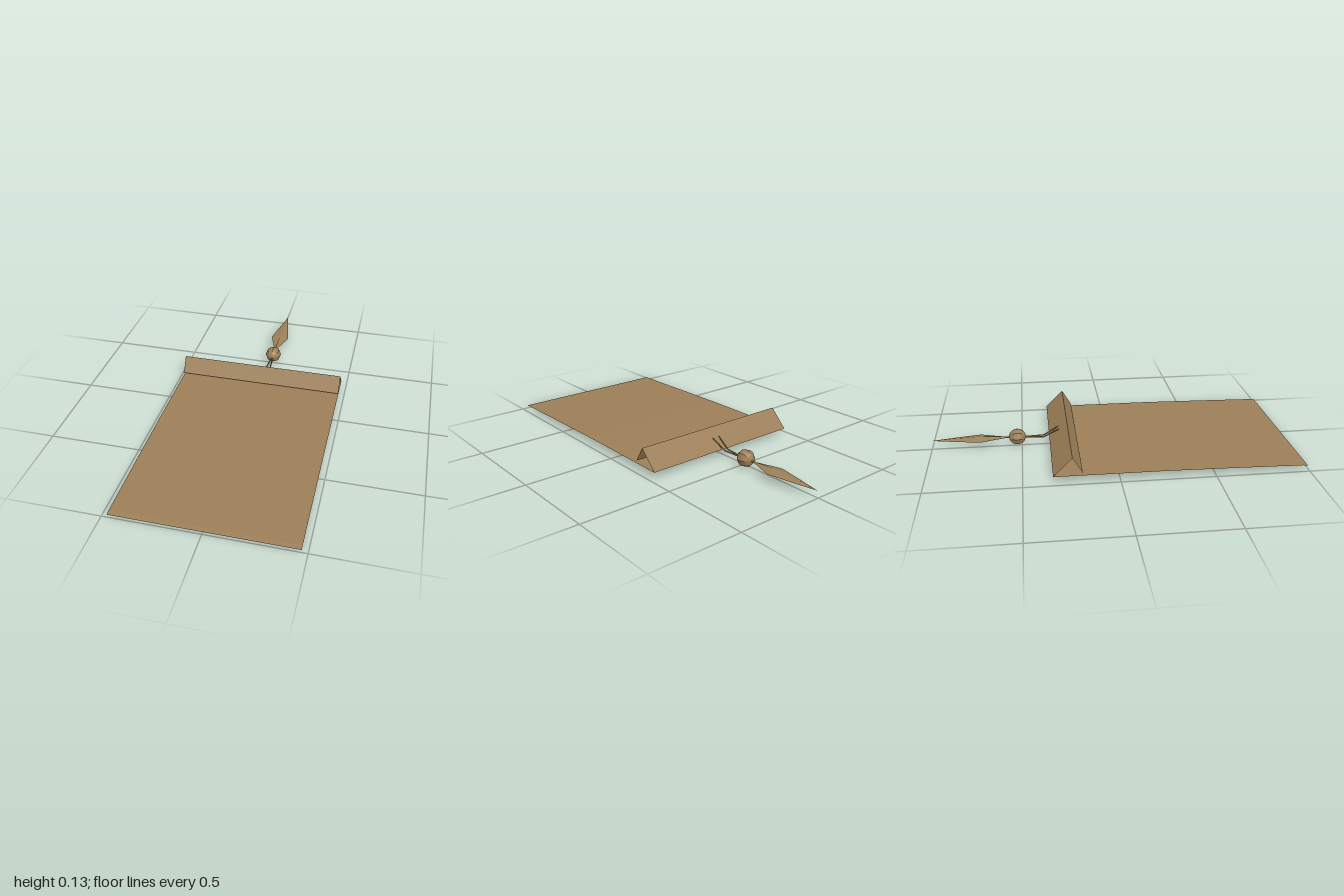
import * as THREE from 'three';

const CX = 0.014; // the cord, bead and leaf hang slightly off centre

export function createModel() {
  const group = new THREE.Group();
  const leather = new THREE.MeshStandardMaterial({ color: 0x9c7f58, side: THREE.DoubleSide });
  leather.name = 'tan leather';

  const add = (name, geometry, flat = true) => {
    const g = flat && geometry.index ? geometry.toNonIndexed() : geometry;
    if (flat) g.computeVertexNormals();
    const mesh = new THREE.Mesh(g, leather);
    mesh.name = name;
    group.add(mesh);
    return mesh;
  };

  // Thin strip of leather following a [z, y] profile from front to back
  const sheet = (profile) => {
    const g = new THREE.PlaneGeometry(0.94, 1, 1, profile.length - 1);
    const p = g.attributes.position;
    for (let i = 0; i < p.count; i++) {
      const [z, y] = profile[profile.length - 1 - Math.floor(i / 2)];
      p.setXYZ(i, p.getX(i), y, z);
    }
    return g;
  };

  // Long page with a slight lip at the front edge
  add('page', sheet([[1, 0.02], [0.975, 0.024], [0.6, 0.031], [0.25, 0.036], [-0.345, 0.037]]));
  // Folded flap: rises from the back edge, then drops to the front
  add('foldedFlap', sheet([[-0.193, 0.05], [-0.245, 0.137], [-0.345, 0.037]]));

  // Two cord strands that leave the flap apart and meet at the bead
  for (const s of [-1, 1]) {
    const path = new THREE.CurvePath();
    const pts = [[0.021, 0.093, -0.293], [0.012, 0.046, -0.375], [0.004, 0.045, -0.48], [0.002, 0.048, -0.61]]
      .map(([x, y, z]) => new THREE.Vector3(CX + s * x, y, z));
    for (let i = 1; i < pts.length; i++) path.add(new THREE.LineCurve3(pts[i - 1], pts[i]));
    add(s < 0 ? 'rightCord' : 'leftCord', new THREE.TubeGeometry(path, 24, 0.004, 5));
  }

  // Faceted bead threaded on the cord
  const bead = new THREE.SphereGeometry(0.047, 8, 10);
  bead.rotateX(Math.PI / 2);
  bead.translate(CX, 0.05, -0.525);
  add('bead', bead);

  // Leaf pendant: diamond cross-sections [z, half width, half thickness]
  const sections = [[-0.59, 0.006, 0.004], [-0.73, 0.054, 0.012], [-0.88, 0.026, 0.007], [-1, 0.0005, 0.0005]];
  const pos = [], idx = [];
  for (const [z, w, t] of sections) {
    for (let k = 0; k < 4; k++) {
      const a = (k * Math.PI) / 2;
      pos.push(CX + w * Math.cos(a), 0.048 + t * Math.sin(a), z);
    }
  }
  for (let i = 0; i < sections.length - 1; i++) {
    for (let k = 0; k < 4; k++) {
      const a = i * 4 + k, b = i * 4 + ((k + 1) % 4);
      idx.push(a, b, a + 4, b, b + 4, a + 4);
    }
  }
  idx.push(0, 1, 2, 0, 2, 3);
  const leaf = new THREE.BufferGeometry();
  leaf.setAttribute('position', new THREE.Float32BufferAttribute(pos, 3));
  leaf.setIndex(idx);
  add('leafPendant', leaf);

  return group;
}
